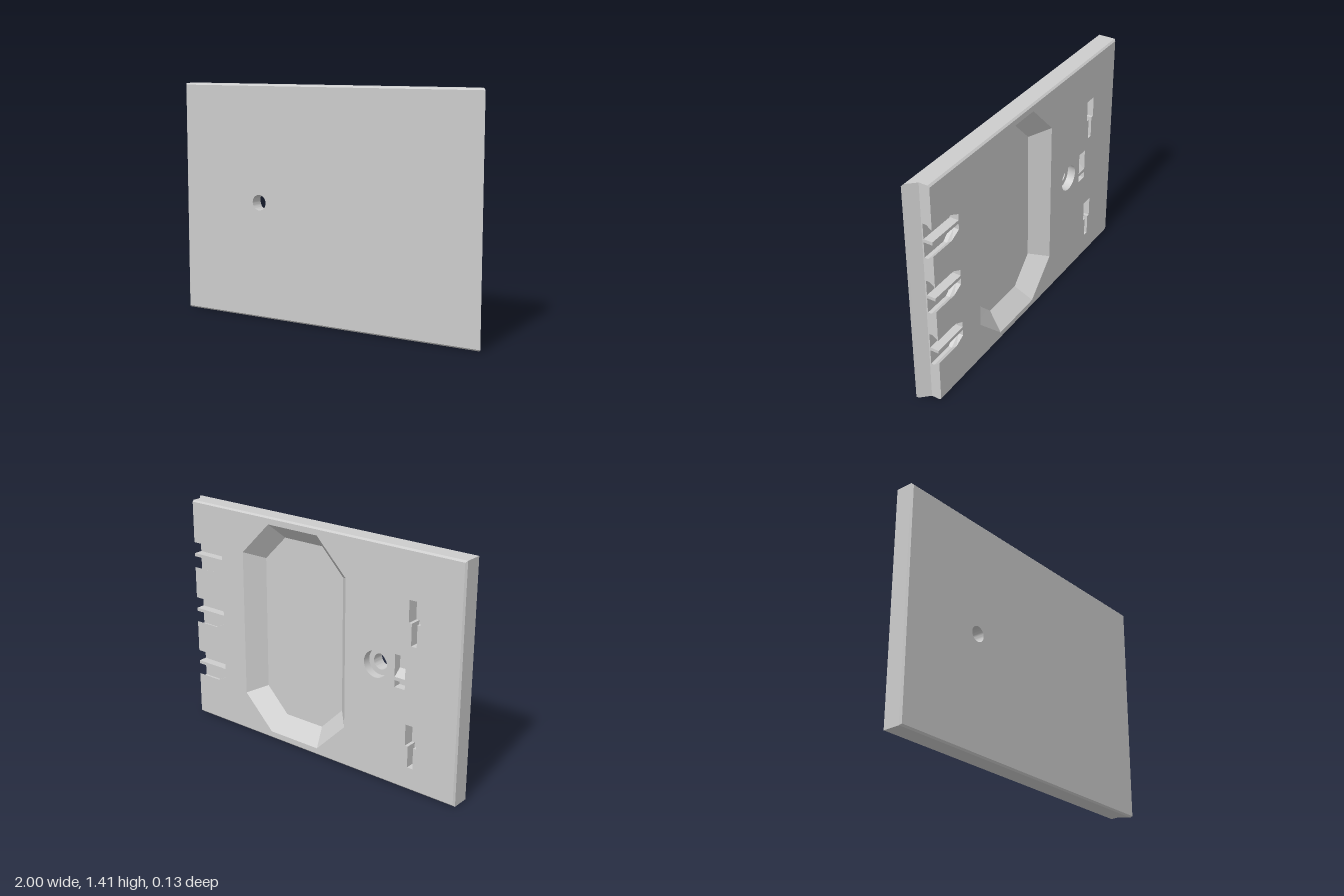
import * as THREE from 'three';
import { toCreasedNormals } from 'three/addons/utils/BufferGeometryUtils.js';

const W = 1.41, FRONT = 0.063, BACK = -0.063, SIDE = 0.94, NOTCH_Z = -0.008;

export function createModel() {
  const group = new THREE.Group();
  const grey = new THREE.MeshStandardMaterial({ color: 0xcccccc, side: THREE.DoubleSide });
  grey.name = 'light grey';

  const add = (name, geometry) => {
    const mesh = new THREE.Mesh(geometry, grey);
    mesh.name = name;
    group.add(mesh);
  };
  const toShape = pts => new THREE.Shape(pts.map(p => new THREE.Vector2(p[0], p[1])));

  // Flat face at depth z; back faces have their corners reversed
  const face = (name, outline, holes, z, toBack) => {
    const shape = toShape(outline);
    shape.holes = holes.map(toShape);
    const geo = new THREE.ShapeGeometry(shape);
    geo.translate(0, 0, z);
    if (toBack) geo.index.array.reverse();
    geo.computeVertexNormals();
    add(name, geo);
  };

  // Walls between two matching outlines at depths za and zb
  const band = (name, a, za, b, zb, open = false, skip = -1) => {
    const pos = [];
    const n = a.length;
    for (let i = 0; i < (open ? n - 1 : n); i++) {
      if (i === skip) continue;
      const j = (i + 1) % n;
      pos.push(...a[i], za, ...a[j], za, ...b[j], zb);
      pos.push(...a[i], za, ...b[j], zb, ...b[i], zb);
    }
    const geo = new THREE.BufferGeometry();
    geo.setAttribute('position', new THREE.Float32BufferAttribute(pos, 3));
    geo.computeVertexNormals();
    add(name, toCreasedNormals(geo, 0.5));
  };

  const rect = (x0, x1, y0, y1) => [[x0, y0], [x1, y0], [x1, y1], [x0, y1]];
  const circle = (x, y, r, n = 40) => Array.from({ length: n }, (_, i) => {
    const t = i / n * Math.PI * 2;
    return [x + r * Math.cos(t), y + r * Math.sin(t)];
  });
  const octagon = (hx, hy, cx, cy) => [
    [-cx, -hy], [cx, -hy], [hx, -cy], [hx, cy], [cx, hy], [-cx, hy], [-hx, cy], [-hx, -cy],
  ].map(([x, y]) => [0.15 + x, 0.705 + y]);

  // Opening outlines on the back
  const bore = circle(-0.45, 0.705, 0.047);
  const counterbore = circle(-0.45, 0.705, 0.08);
  const recess = octagon(0.385, 0.66, 0.18, 0.455);
  const recessFloor = octagon(0.29, 0.567, 0.138, 0.413);
  const latch = rect(-0.65, -0.58, 0.605, 0.8);
  const keyholes = [1.0, 0.27].map(c => [
    [-0.718, c - 0.13], [-0.682, c - 0.13], [-0.682, c], [-0.6625, c],
    [-0.6625, c + 0.13], [-0.7375, c + 0.13], [-0.7375, c], [-0.718, c],
  ]);
  const notchCentres = [0.35, 0.708, 1.066];
  const notch = (c, h) => [
    [SIDE, c + h], [0.775, c + h], [0.71, c + 0.048],
    [0.71, c - 0.048], [0.775, c - h], [SIDE, c - h],
  ];

  // Panel shell: chamfered rims, with a bevelled lip along the left edge
  const rings = [
    [rect(-0.99, SIDE, 0.01, W - 0.01), BACK],
    [rect(-1, SIDE, 0, W), -0.053],
    [rect(-1, SIDE, 0, W), 0],
    [rect(-1, 0.99, 0, W), 0.053],
    [rect(-0.99, 1, 0.01, W - 0.01), FRONT],
  ];
  for (let i = 0; i < 4; i++) {
    band('panelRim', ...rings[i], ...rings[i + 1], false, i < 2 ? 1 : -1);
  }
  face('panelFront', rings[4][0], [bore], FRONT, false);

  const backOutline = [[-0.99, 0.01], [SIDE, 0.01]];
  notchCentres.forEach(c => backOutline.push(...notch(c, 0.08).reverse()));
  backOutline.push([SIDE, W - 0.01], [-0.99, W - 0.01]);
  face('panelBack', backOutline, [counterbore, recess, latch, ...keyholes], BACK, true);

  // Left edge wall, cut by the undercut notches
  const edge = [[0, 0], [0.053, 0], [0.063, 0.01]];
  notchCentres.forEach(c => edge.push(
    [0.063, c - 0.08], [0.03, c - 0.105], [0.008, c - 0.105],
    [0.008, c + 0.105], [0.03, c + 0.105], [0.063, c + 0.08]));
  edge.push([0.063, W - 0.01], [0.053, W], [0, W]);
  add('panelEdge', new THREE.ShapeGeometry(toShape(edge)).rotateY(Math.PI / 2).translate(SIDE, 0, 0));

  // Notches with a thin rib across the middle
  for (const c of notchCentres) {
    const wide = notch(c, 0.105);
    band('notchLowerWall', wide, NOTCH_Z, wide, -0.03, true);
    band('notchUndercut', wide, -0.03, notch(c, 0.08), BACK, true);
    face('notchFloor', wide, [], NOTCH_Z, true);
    const rib = new THREE.BoxGeometry(0.23, 0.02, NOTCH_Z - BACK);
    add('notchRib', rib.translate(0.825, c, (NOTCH_Z + BACK) / 2));
  }

  // Large sloped recess
  band('recessWall', recessFloor, 0.037, recess, BACK);
  face('recessFloor', recessFloor, [], 0.037, true);

  // Through hole with counterbore
  band('counterboreWall', counterbore, -0.013, counterbore, BACK);
  face('counterboreStep', counterbore, [bore], -0.013, true);
  band('holeWall', bore, FRONT, bore, -0.013);

  // Hanging slots
  for (const k of keyholes) {
    band('hangingSlotWall', k, 0.007, k, BACK);
    face('hangingSlotFloor', k, [], 0.007, true);
  }

  // Latch pocket with a wedge
  band('latchPocketWall', latch, -0.013, latch, BACK);
  face('latchPocketFloor', latch, [], -0.013, true);
  const wedge = toShape([[0.013, 0.645], [0.062, 0.645], [0.062, 0.665], [0.013, 0.705]]);
  add('latchWedge', new THREE.ExtrudeGeometry(wedge, { depth: 0.07, bevelEnabled: false })
    .rotateY(Math.PI / 2).translate(-0.65, 0, 0));

  return group;
}
